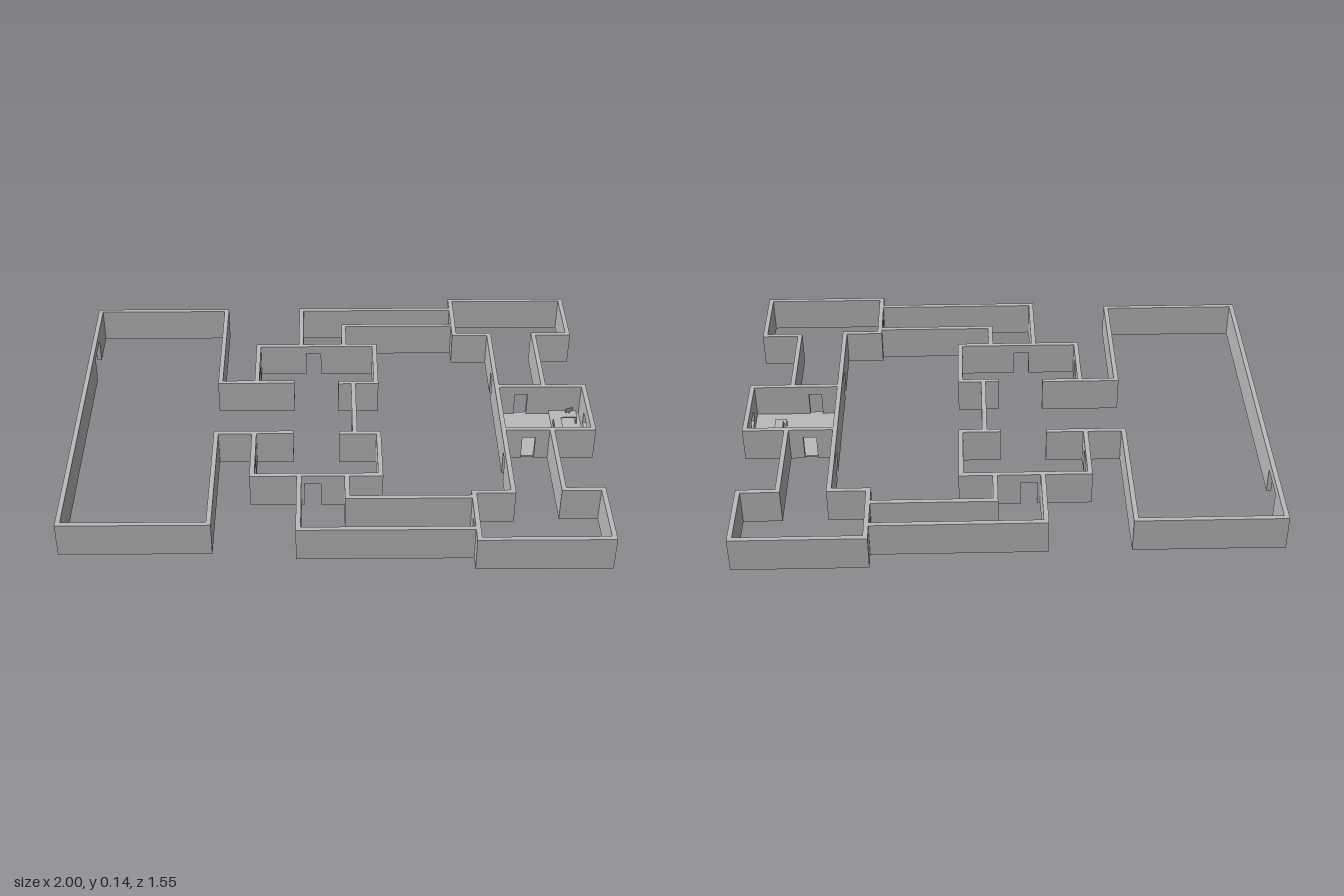
import * as THREE from 'three';

const H = 0.137, T = 0.018, DOOR = 0.1;

export function createModel() {
  const model = new THREE.Group();
  model.name = 'floorPlan';
  const grey = new THREE.MeshStandardMaterial({ color: 0xbababa });
  grey.name = 'wallGrey';

  const box = (parent, name, x0, x1, y0, y1, z0, z1) => {
    const mesh = new THREE.Mesh(new THREE.BoxGeometry(x1 - x0, y1 - y0, z1 - z0), grey);
    mesh.position.set((x0 + x1) / 2, (y0 + y1) / 2, (z0 + z1) / 2);
    mesh.name = name;
    parent.add(mesh);
    return mesh;
  };

  // A wall along x or z, extruded upwards, with an optional opening cut through
  const wall = (parent, name, axis, at, from, to, hole) => {
    const shape = new THREE.Shape();
    if (hole && hole.sill === undefined) {
      // doorway: notch from the ground
      [[from, 0], [hole.a, 0], [hole.a, DOOR], [hole.b, DOOR], [hole.b, 0], [to, 0], [to, H], [from, H]]
        .forEach(([u, v], i) => (i ? shape.lineTo(u, v) : shape.moveTo(u, v)));
      shape.closePath();
    } else {
      shape.moveTo(from, 0).lineTo(to, 0).lineTo(to, H).lineTo(from, H).closePath();
      if (hole) {
        const p = new THREE.Path();
        p.moveTo(hole.a, hole.sill).lineTo(hole.a, hole.top).lineTo(hole.b, hole.top).lineTo(hole.b, hole.sill).closePath();
        shape.holes.push(p);
      }
    }
    const geo = new THREE.ExtrudeGeometry(shape, { depth: T, bevelEnabled: false });
    geo.translate(0, 0, -T / 2);
    const mesh = new THREE.Mesh(geo, grey);
    mesh.name = name;
    if (axis === 'z') {
      // local +x becomes world +z
      mesh.rotation.y = -Math.PI / 2;
      mesh.position.x = at;
    } else mesh.position.z = at;
    parent.add(mesh);
  };

  const room = (name) => {
    const g = new THREE.Group();
    g.name = name;
    model.add(g);
    return g;
  };

  // Large hall
  const hall = room('largeHall');
  wall(hall, 'outerWall', 'z', -0.991, -0.705, 0.683, { a: -0.53, b: -0.39 });
  wall(hall, 'backWall', 'x', -0.7, -1, -0.446, null);
  wall(hall, 'frontWall', 'x', 0.676, -1, -0.446, null);
  wall(hall, 'innerWallBack', 'z', -0.455, -0.705, -0.17);
  wall(hall, 'innerWallFront', 'z', -0.455, 0.143, 0.683);
  wall(hall, 'stubWallBack', 'x', -0.178, -0.46, -0.16);
  wall(hall, 'stubWallFront', 'x', 0.15, -0.46, -0.16);

  // Divider between the two small rooms
  wall(room('divider'), 'dividerWall', 'z', 0.075, -0.172, 0.155, { a: 0.02, b: 0.12 });

  // Both wings: s is the side, the numbers are distances from the middle
  const wings = [
    { s: -1, name: 'back', box: 0.433, stubL: 0.178, stubR: 0.172, inner: 0.58, outer: 0.702, end: 0.77, nearL: 0.51, nearR: 0.511, pod: 0.145 },
    { s: 1, name: 'front', box: 0.406, stubL: 0.15, stubR: 0.155, inner: 0.535, outer: 0.706, end: 0.764, nearL: 0.508, nearR: 0.496, pod: 0.138 },
  ];
  for (const w of wings) {
    const { s } = w;
    const alongX = (g, n, z, x0, x1, h) => wall(g, n, 'x', s * z, x0, x1, h);
    const alongZ = (g, n, x, z0, z1, h) => {
      const span = (a, b) => [Math.min(s * a, s * b), Math.max(s * a, s * b)];
      const [f, t] = span(z0, z1);
      const [a, b] = h ? span(h.a, h.b) : [];
      wall(g, n, 'z', x, f, t, h && { a, b });
    };
    const e = T / 2;

    const small = room(w.name + 'SmallRoom');
    alongX(small, 'outerWall', w.box, -0.319, 0.175, { a: -0.115, b: -0.055 });
    alongZ(small, 'doorWall', -0.31, w.stubL, w.box + e, { a: 0.255, b: 0.345 });
    alongZ(small, 'sideWall', 0.166, w.stubR - e, w.box + e);
    alongX(small, 'stubWall', w.stubR, 0.015, 0.175);

    const passage = room(w.name + 'Passage');
    alongZ(passage, 'endWall', -0.136, w.box, w.outer + e);
    alongX(passage, 'outerWall', w.outer, -0.145, 0.505);
    alongZ(passage, 'innerEndWall', 0.041, w.box, w.inner + e);
    alongX(passage, 'innerWall', w.inner, 0.032, 0.505);

    const corner = room(w.name + 'CornerRoom');
    alongZ(corner, 'doorWall', 0.502, w.nearL - e, w.end + e, { a: 0.61, b: 0.67 });
    alongX(corner, 'outerWall', w.end, 0.493, 0.985);
    alongZ(corner, 'sideWall', 0.976, w.nearR - e, w.end + e);
    alongX(corner, 'nearWallInner', w.nearL, 0.493, 0.655);
    alongX(corner, 'nearWallOuter', w.nearR, 0.823, 0.985);

    const corridor = room(w.name + 'Corridor');
    alongZ(corridor, 'doorWall', 0.646, 0, w.nearL + e, { a: 0.235, b: 0.285 });
    alongZ(corridor, 'outerWall', 0.832, w.pod, w.nearR + e);
  }

  // Office with floor, window and side doors
  const office = room('office');
  box(office, 'floor', 0.646, 0.998, 0, 0.006, -0.145, 0.138);
  wall(office, 'backWall', 'x', -0.143, 0.646, 1, { a: 0.72, b: 0.77 });
  wall(office, 'frontWall', 'x', 0.136, 0.646, 1, { a: 0.72, b: 0.77 });
  wall(office, 'windowWall', 'z', 0.991, -0.152, 0.145, { a: -0.033, b: 0.045, sill: 0.035, top: 0.085 });

  // Corner desk
  const desk = room('desk');
  box(desk, 'deskTopLong', 0.855, 0.9, 0.033, 0.038, -0.11, 0.05);
  box(desk, 'deskTopShort', 0.9, 0.965, 0.033, 0.038, -0.11, -0.065);
  box(desk, 'deskSideFront', 0.855, 0.9, 0.006, 0.033, 0.046, 0.05);
  box(desk, 'deskSideRight', 0.961, 0.965, 0.006, 0.033, -0.11, -0.065);
  const screen = (name, x, z, turn) => {
    const g = new THREE.Group();
    g.name = name;
    box(g, 'stand', -0.002, 0.002, 0.038, 0.046, -0.002, 0.002);
    box(g, 'panel', -0.002, 0.002, 0.044, 0.061, -0.016, 0.016);
    g.position.set(x, 0, z);
    g.rotation.y = turn;
    desk.add(g);
  };
  screen('sideScreen', 0.863, -0.008, 0);
  screen('backScreen', 0.935, -0.095, -1.2);

  return model;
}
